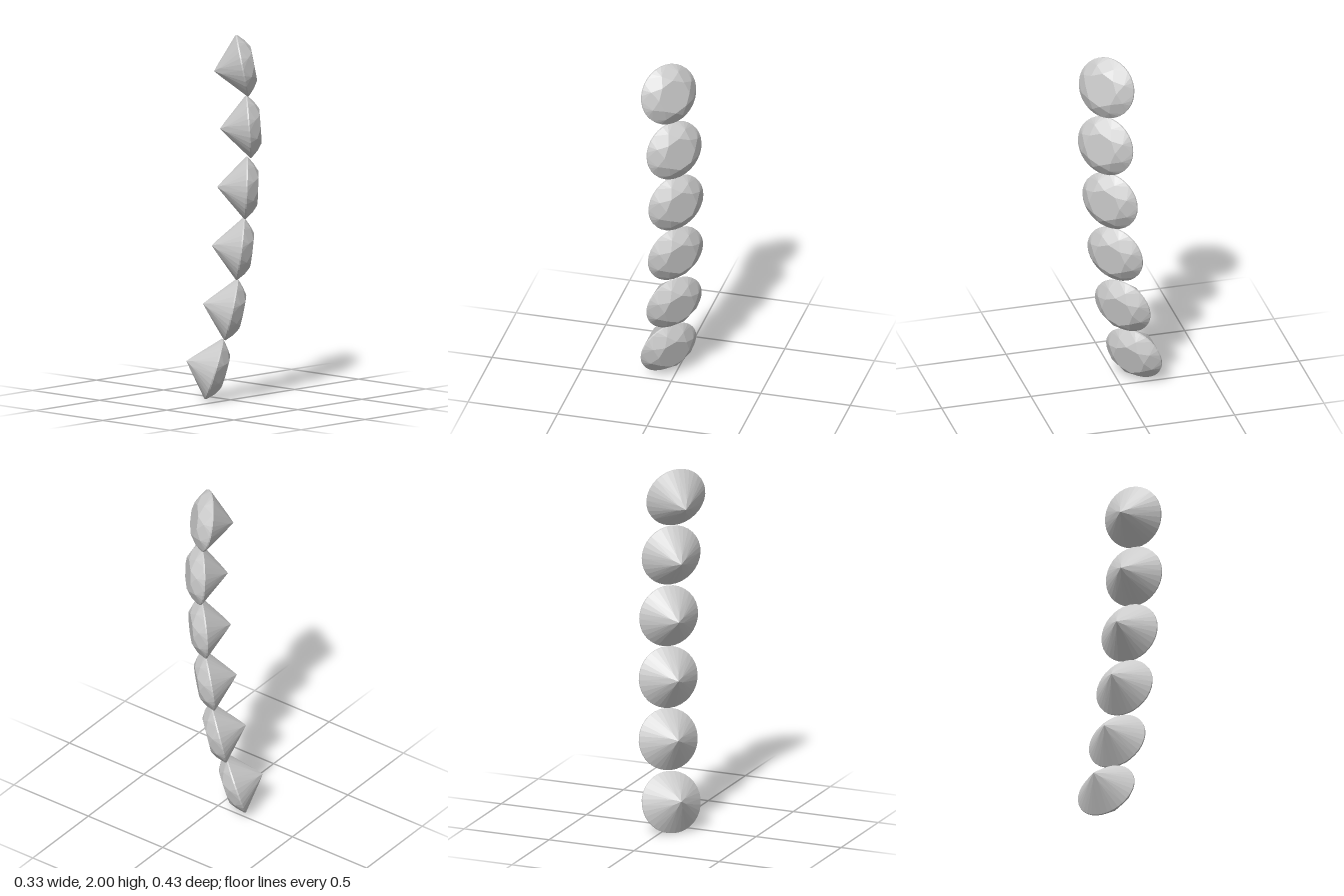
import * as THREE from 'three';

const R = 0.169;        // girdle radius
const GIRDLE = 0.004;   // half the girdle thickness
const CROWN = 0.064;    // table height above the girdle plane
const PAVILION = 0.155; // culet depth below the girdle plane
const TABLE = 0.56;     // table radius as a share of R

// A round brilliant-cut stone whose table faces +z
function brilliantGeometry() {
  const pos = [];
  const p = (r, step, z) => { // step counts 32nds of a turn
    const a = (step / 32) * Math.PI * 2;
    return [r * R * Math.cos(a), r * R * Math.sin(a), z];
  };
  const tri = (a, b, c) => pos.push(...a, ...b, ...c);
  const tableCentre = [0, 0, CROWN];
  const culet = [0, 0, -PAVILION];
  const table = s => p(TABLE, s, CROWN);
  const crownMid = s => p(0.8, s, GIRDLE + (CROWN - GIRDLE) * 0.593);
  const top = s => p(1, s, GIRDLE);
  const low = s => p(1, s, -GIRDLE);
  const pavMid = s => p(0.22, s, -GIRDLE - (PAVILION - GIRDLE) * 0.797);

  for (let s = 0; s < 32; s += 4) {
    // table and star facets
    tri(tableCentre, table(s), table(s + 4));
    tri(table(s), crownMid(s + 2), table(s + 4));
    // bezel kite
    tri(table(s), crownMid(s - 2), top(s));
    tri(table(s), top(s), crownMid(s + 2));
    // pavilion main kite
    tri(culet, low(s), pavMid(s - 2));
    tri(culet, pavMid(s + 2), low(s));
    for (let i = s; i < s + 4; i++) {
      tri(crownMid(s + 2), top(i), top(i + 1));   // upper halves
      tri(pavMid(s + 2), low(i + 1), low(i));     // lower halves
      tri(low(i), low(i + 1), top(i + 1));        // girdle
      tri(low(i), top(i + 1), top(i));
    }
  }
  const g = new THREE.BufferGeometry();
  g.setAttribute('position', new THREE.Float32BufferAttribute(pos, 3));
  g.computeVertexNormals();
  return g;
}

export function createModel() {
  const group = new THREE.Group();
  group.name = 'gemDrop';
  const geometry = brilliantGeometry();
  const material = new THREE.MeshStandardMaterial({ color: 0xcccccc, flatShading: true });

  // centre x, y, z and upward tilt in degrees, top to bottom
  const stones = [
    [0.007, 1.835, 0.079, 11],
    [0.041, 1.5, 0.094, 4],
    [0.045, 1.163, 0.07, -2],
    [0.034, 0.828, 0.038, -7],
    [0.013, 0.494, -0.01, -12],
    [-0.039, 0.167, -0.088, -16.5],
  ];
  stones.forEach(([x, y, z, tilt], i) => {
    const gem = new THREE.Mesh(geometry, material);
    gem.name = `gem${i + 1}`;
    gem.position.set(x, y, z);
    gem.rotation.set(-THREE.MathUtils.degToRad(tilt), Math.PI / 4, 0, 'YXZ');
    group.add(gem);
  });
  return group;
}
